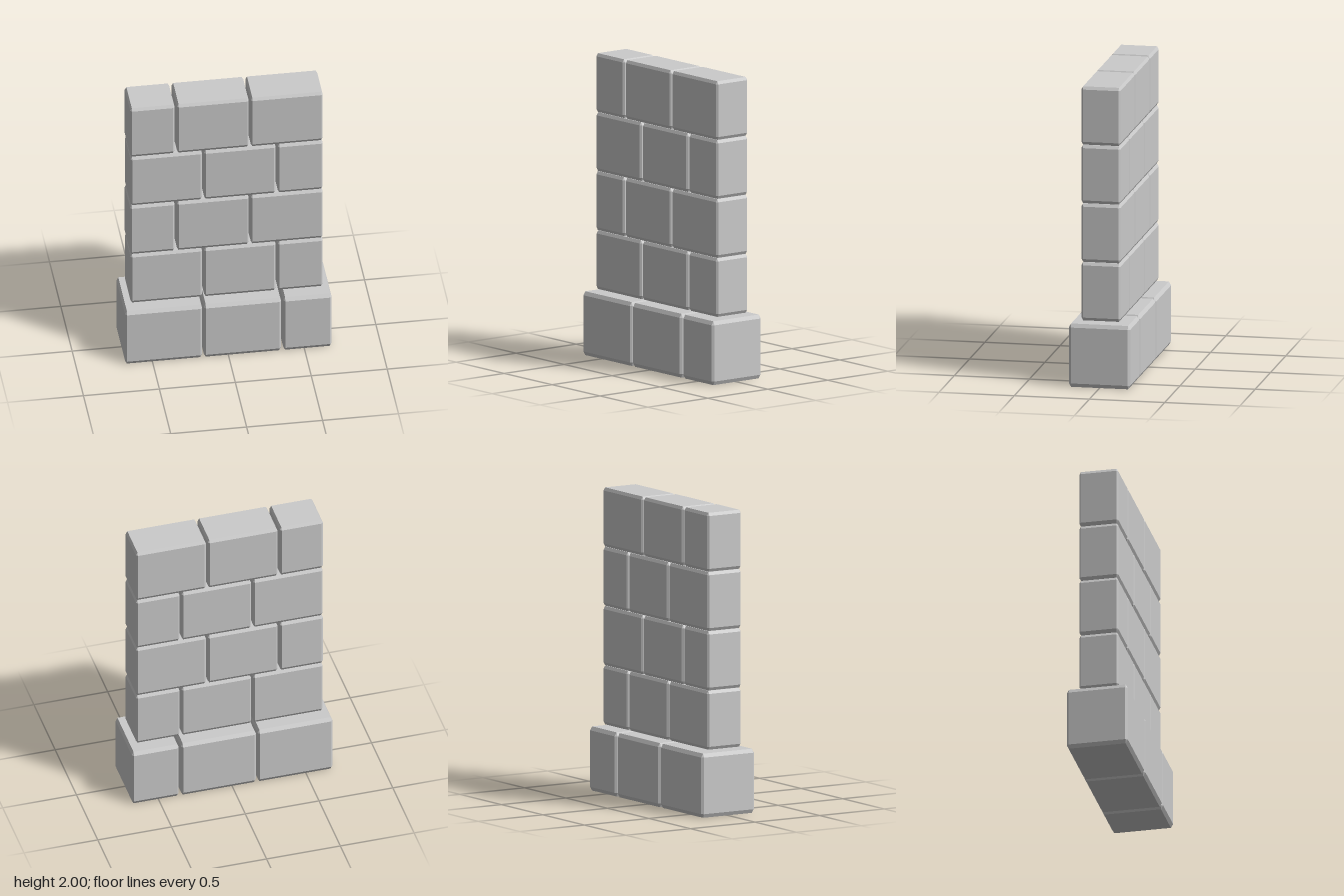
import * as THREE from 'three';
import { ConvexGeometry } from 'three/addons/geometries/ConvexGeometry.js';

const stone = new THREE.MeshStandardMaterial({ color: 0xcccccc, flatShading: true });

// Box with a flat bevel on every edge; bevel is the inset along x, y and z
function bevelledBox(size, bevel) {
  const points = [];
  for (const sx of [-1, 1]) for (const sy of [-1, 1]) for (const sz of [-1, 1]) {
    const sign = [sx, sy, sz];
    for (let full = 0; full < 3; full++) {
      points.push(new THREE.Vector3(
        ...sign.map((s, a) => s * (size[a] / 2 - (a === full ? 0 : bevel[a])))
      ));
    }
  }
  return new ConvexGeometry(points);
}

// One row of separate blocks, each given as [left edge, right edge]
function course(name, spans, y0, y1, depth, bevel) {
  const row = new THREE.Group();
  row.name = name;
  spans.forEach(([x0, x1], i) => {
    const block = new THREE.Mesh(bevelledBox([x1 - x0, y1 - y0, depth], bevel), stone);
    block.position.set((x0 + x1) / 2, (y0 + y1) / 2, 0);
    block.name = `${name}Block${i + 1}`;
    row.add(block);
  });
  return row;
}

export function createModel() {
  const wall = new THREE.Group();
  wall.name = 'blockWall';

  // Wide footing
  const footing = [[-0.68, -0.173], [-0.161, 0.347], [0.362, 0.68]];
  wall.add(course('footing', footing, 0, 0.423, 0.408, [0.012, 0.025, 0.015]));

  // Four thinner courses with alternating joints
  const shortRight = [[-0.634, -0.163], [-0.149, 0.322], [0.336, 0.632]];
  const shortLeft = [[-0.636, -0.343], [-0.328, 0.145], [0.158, 0.632]];
  const heights = [[0.437, 0.826], [0.828, 1.218], [1.22, 1.609], [1.611, 2]];
  heights.forEach(([y0, y1], i) => {
    const spans = i % 2 ? shortLeft : shortRight;
    wall.add(course(`course${i + 1}`, spans, y0, y1, 0.26, [0.011, 0.02, 0.011]));
  });
  return wall;
}
